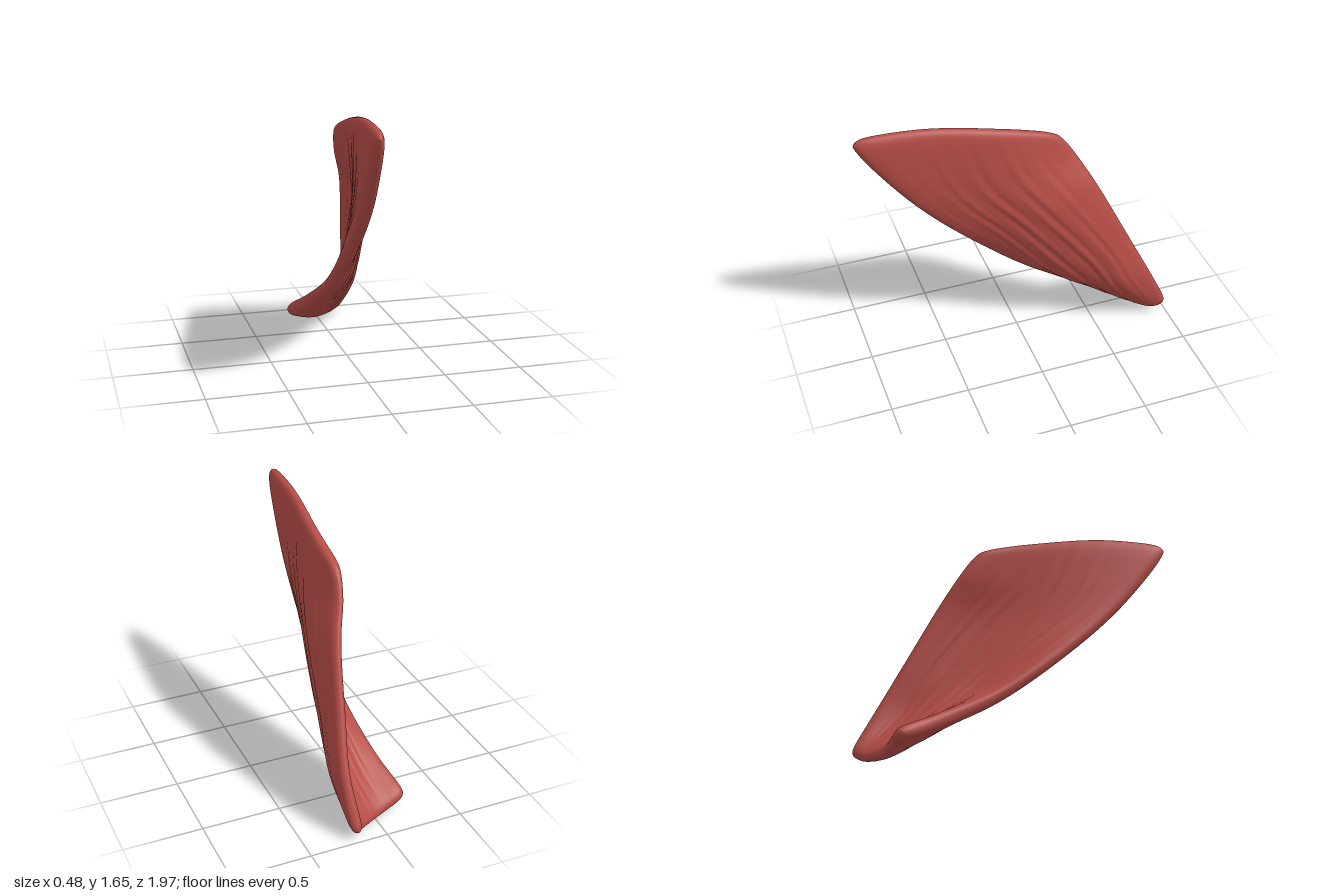
import * as THREE from 'three';
import { mergeVertices } from 'three/addons/utils/BufferGeometryUtils.js';

// Cross-sections from the narrow lower end to the broad upper end;
// each runs from the back edge to the front edge of the sheet.
const SECTIONS = [
  [[0.2, 0.075, -1.01], [0.145, 0.03, -0.925], [-0.04, 0.02, -0.825], [-0.245, 0.085, -0.785]],
  [[0.205, 0.4, -0.85], [0.2, 0.32, -0.68], [0.04, 0.245, -0.545], [-0.155, 0.225, -0.505]],
  [[0.165, 0.7, -0.7], [0.18, 0.62, -0.5], [0.08, 0.51, -0.26], [-0.09, 0.435, -0.135]],
  [[0.105, 1.08, -0.51], [0.135, 1.0, -0.22], [0.05, 0.87, 0.05], [-0.06, 0.73, 0.24]],
  [[0.035, 1.3, -0.385], [0.065, 1.28, -0.02], [0.005, 1.2, 0.35], [-0.05, 1.13, 0.645]],
  [[0.005, 1.475, -0.275], [0.005, 1.575, 0.08], [-0.04, 1.648, 0.55], [-0.08, 1.65, 1.05]],
];

const spline = (points) => new THREE.CatmullRomCurve3(points, false, 'catmullrom', 0.5);
const columns = [0, 1, 2, 3].map((c) => spline(SECTIONS.map((row) => new THREE.Vector3(...row[c]))));
const sectionAt = (t) => spline(columns.map((c) => c.getPoint(t)));

// Samples crowd towards the borders so the blunt rim stays round
const ease = (u) => (1 - Math.cos(Math.PI * u)) / 2;
const rim = (u, power) => Math.sqrt(Math.max(0, 1 - Math.pow(Math.abs(2 * u - 1), power)));

// Draws one coordinate in near the ends of the other, rounding the corners
const roundCorner = (u, v) => 0.5 + (u - 0.5) * (1 - 0.04 * Math.pow(Math.abs(2 * v - 1), 14));

// Half thickness grows towards the front edge, which forms a stout rib
const halfThickness = (s) => 0.037 + 0.013 * s;

// Shallow grooves that follow the fibres, strongest in the middle
function groove(s, t) {
  const wave = Math.sin(s * 60 + 2 * Math.sin(t * 5)) + 0.6 * Math.sin(s * 97 - 3 * t);
  return 0.005 * wave * Math.sin(Math.PI * s) ** 2 * Math.sin(Math.PI * t);
}

function muscleGeometry(rows = 72, cols = 96) {
  const positions = [];
  const indices = [];
  const e = 0.004;
  for (const side of [1, -1]) {
    const base = positions.length / 3;
    for (let i = 0; i <= rows; i++) {
      const v = ease(i / rows);
      for (let j = 0; j <= cols; j++) {
        const u = ease(j / cols);
        const s = roundCorner(u, v);
        const t = roundCorner(v, u);
        const here = sectionAt(t);
        const across = here.getPoint(Math.min(1, s + e)).sub(here.getPoint(Math.max(0, s - e)));
        const along = sectionAt(Math.min(1, t + e)).getPoint(s).sub(sectionAt(Math.max(0, t - e)).getPoint(s));
        const normal = along.cross(across).normalize();
        const border = i === 0 || j === 0 || i === rows || j === cols;
        const offset = border ? 0 : halfThickness(s) * rim(u, 14) * rim(v, 30) + groove(s, t);
        const p = here.getPoint(s).addScaledVector(normal, side * offset);
        positions.push(p.x, p.y, p.z);
      }
    }
    for (let i = 0; i < rows; i++) {
      for (let j = 0; j < cols; j++) {
        const a = base + i * (cols + 1) + j, b = a + 1, c = a + cols + 1, d = c + 1;
        if (side > 0) indices.push(a, c, b, b, c, d);
        else indices.push(a, b, c, b, d, c);
      }
    }
  }
  const geometry = new THREE.BufferGeometry();
  geometry.setAttribute('position', new THREE.Float32BufferAttribute(positions, 3));
  geometry.setIndex(indices);
  // Weld the two faces along the rim, then smooth
  const welded = mergeVertices(geometry, 1e-5);
  welded.computeVertexNormals();
  return welded;
}

export function createModel() {
  const group = new THREE.Group();
  group.name = 'muscle';
  const muscleRed = new THREE.MeshStandardMaterial({ color: 0xb54c46 });
  muscleRed.name = 'muscleRed';
  const sheet = new THREE.Mesh(muscleGeometry(), muscleRed);
  sheet.name = 'muscleSheet';
  group.add(sheet);
  return group;
}
